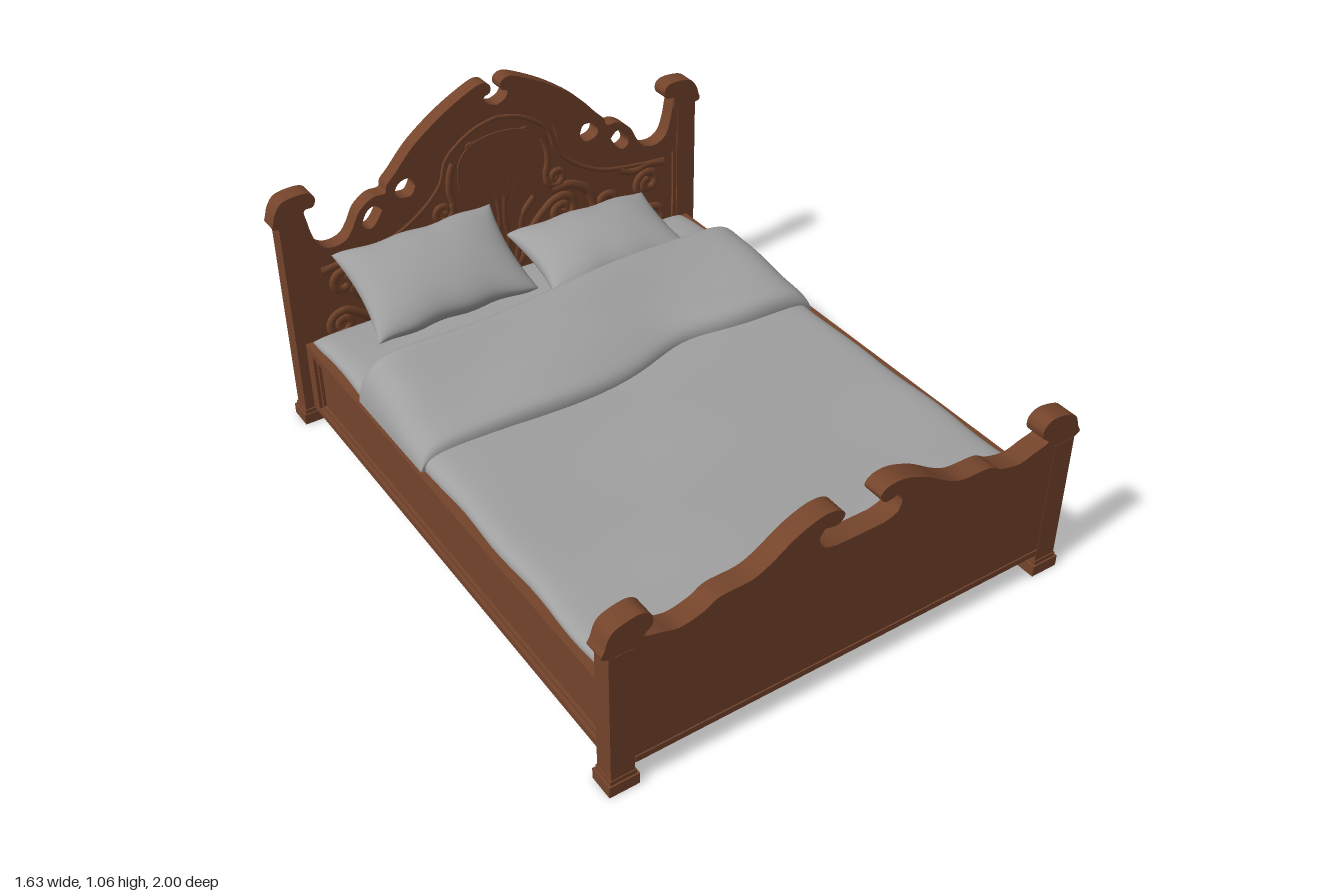
import * as THREE from 'three';
import { mergeVertices, toCreasedNormals } from 'three/addons/utils/BufferGeometryUtils.js';

const mat = (name, color) => Object.assign(new THREE.MeshStandardMaterial({ color }), { name });

export function createModel() {
  const model = new THREE.Group();
  model.name = 'bed';
  const wood = mat('carved wood', 0x74442b);
  const linen = mat('grey linen', 0xa0a0a0);

  const add = (name, geo, material, x = 0, y = 0, z = 0) => {
    const m = new THREE.Mesh(geo, material);
    m.name = name;
    m.position.set(x, y, z);
    model.add(m);
    return m;
  };
  // Box given by its limits on each axis
  const box = (name, x0, x1, y0, y1, z0, z1) =>
    add(name, new THREE.BoxGeometry(x1 - x0, y1 - y0, z1 - z0), wood,
      (x0 + x1) / 2, (y0 + y1) / 2, (z0 + z1) / 2);
  const vecs = (pts) => pts.map(([x, y]) => new THREE.Vector2(x, y));
  const smooth = (pts, n = 110) => new THREE.SplineCurve(vecs(pts)).getPoints(n);
  const flip = (pts, s) => pts.map((p) => new THREE.Vector2(p.x * s, p.y));
  // Closed symmetrical outline from its right half, listed from the middle of the top outwards
  const mirrored = (half) => [...half, ...flip(half.slice(1).reverse(), -1)];
  // Outlines run counter-clockwise and holes clockwise, so that all walls face outwards
  const wound = (pts, clockwise) =>
    (THREE.ShapeUtils.isClockWise(pts) === clockwise ? pts : [...pts].reverse());
  const plate = (name, outline, holes, z0, z1) => {
    const shape = new THREE.Shape(wound(outline, false));
    holes.forEach((h) => shape.holes.push(new THREE.Path(wound(h, true))));
    const geo = new THREE.ExtrudeGeometry(shape, { depth: z1 - z0, bevelEnabled: false });
    return add(name, toCreasedNormals(geo, 0.6), wood, 0, 0, z0);
  };
  // Low relief strand: a tube flattened towards the panel
  const strand = (name, pts, z, r, n = 52) => {
    const curve = new THREE.CatmullRomCurve3(pts.map((p) => new THREE.Vector3(p.x, p.y, 0)));
    add(name, new THREE.TubeGeometry(curve, n, r, 8), wood, 0, 0, z).scale.z = 0.6;
  };
  // Path that ends in a spiral curl
  const curl = (path, cx, cy, r, a0, turns) => {
    const pts = vecs(path);
    for (let i = 0; i <= 14; i++) {
      const t = i / 14, a = a0 + turns * t * Math.PI * 2, q = r * (1 - 0.75 * t);
      pts.push(new THREE.Vector2(cx + q * Math.cos(a), cy + q * Math.sin(a)));
    }
    return pts;
  };

  // ---- Headboard: arched, pierced frame around a recessed panel
  const headTop = smooth([[0, 0.97], [0.03, 0.982], [0.045, 1.008], [0.022, 1.02], [0.02, 1.045], [0.045, 1.06],
    [0.09, 1.048], [0.2, 0.99], [0.31, 0.91], [0.385, 0.83], [0.415, 0.8], [0.425, 0.772], [0.47, 0.77],
    [0.52, 0.735], [0.55, 0.68], [0.58, 0.645], [0.63, 0.637], [0.67, 0.66], [0.69, 0.71], [0.7, 0.76],
    [0.705, 0.8], [0.675, 0.805], [0.664, 0.83], [0.68, 0.855], [0.725, 0.86], [0.775, 0.85], [0.8, 0.82],
    [0.81, 0.79], [0.815, 0.768], [0.795, 0.76]], 150);
  const headHalf = [...headTop, ...vecs([[0.795, 0.09]])];
  const archHalf = [...smooth([[0, 0.945], [0.1, 0.92], [0.2, 0.85], [0.235, 0.76], [0.31, 0.685], [0.42, 0.625],
    [0.55, 0.6], [0.705, 0.585]], 50), ...vecs([[0.705, 0.25]])];
  const arch = mirrored(archHalf);
  const loopA = [[0.315, 0.765], [0.33, 0.8], [0.37, 0.795], [0.39, 0.765], [0.375, 0.74], [0.335, 0.735]];
  const loopB = [[0.44, 0.715], [0.465, 0.738], [0.495, 0.725], [0.515, 0.68], [0.49, 0.66], [0.465, 0.675]];
  const pierced = [1, -1].flatMap((s) => [loopA, loopB].map((l) => flip(smooth([...l, l[0]], 24).slice(0, -1), s)));
  plate('headboardFrame', mirrored(headHalf), [arch, ...pierced], -0.984, -0.929);
  plate('headboardPanel', arch, [], -0.974, -0.939);
  box('headboardLowerRail', -0.72, 0.72, 0.09, 0.215, -0.987, -0.926);
  box('headboardLedge', -0.72, 0.72, 0.215, 0.24, -0.995, -0.92);

  // Raised cartouche in the middle of the panel
  const cartouche = smooth([[0, 0.868], [0.07, 0.86], [0.12, 0.835], [0.152, 0.79], [0.157, 0.72], [0.145, 0.66],
    [0.11, 0.6], [0.07, 0.53], [0.05, 0.45], [0.07, 0.36], [0.1, 0.27]], 60);
  plate('headboardCartouche', mirrored(cartouche), [], -0.978, -0.935);

  // Carved scrollwork on both faces, mirrored left and right
  const carvings = [
    [0.006, curl([[0, 0.862], [0.05, 0.858], [0.085, 0.85]], 0.095, 0.835, 0.022, 0.8, -1.2)],
    [0.008, vecs([[0.02, 0.6], [0.035, 0.68], [0.07, 0.72], [0.085, 0.69], [0.06, 0.655], [0.04, 0.6], [0.07, 0.53], [0.04, 0.45]])],
    [0.012, vecs([[0.02, 0.27], [0.015, 0.36], [0.02, 0.45], [0.01, 0.53], [0.015, 0.62]])],
    [0.014, vecs([[0.05, 0.27], [0.05, 0.36], [0.07, 0.45], [0.08, 0.52], [0.13, 0.58]])],
    [0.017, curl([[0.02, 0.3], [0.08, 0.36], [0.12, 0.46], [0.19, 0.53]], 0.24, 0.49, 0.06, 2.2, -1.4)],
    [0.017, curl([[0.05, 0.28], [0.14, 0.3], [0.22, 0.36], [0.31, 0.38]], 0.35, 0.32, 0.055, 1.8, -1.3)],
    [0.017, curl([[0.2, 0.58], [0.28, 0.58], [0.35, 0.53], [0.37, 0.46]], 0.42, 0.46, 0.055, 3.1, 1.4)],
    [0.016, curl([[0.36, 0.4], [0.45, 0.37], [0.52, 0.4], [0.57, 0.46]], 0.6, 0.49, 0.05, 3.6, -1.3)],
    [0.016, curl([[0.4, 0.28], [0.48, 0.29], [0.54, 0.34], [0.6, 0.38]], 0.62, 0.33, 0.05, 1.6, -1.3)],
    [0.013, curl([[0.17, 0.8], [0.185, 0.76], [0.19, 0.7], [0.18, 0.65]], 0.22, 0.63, 0.04, 2.8, 1.3)],
    [0.014, vecs([[0.48, 0.57], [0.54, 0.55], [0.6, 0.56], [0.67, 0.55]])],
  ];
  const trim = archHalf.slice(0, -1).map((p) => new THREE.Vector2(p.x * 0.95, p.y - 0.025));
  for (const s of [1, -1]) {
    for (const z of [-0.939, -0.974]) {
      carvings.forEach(([r, c]) => strand('headboardCarving', flip(c, s), z, r));
      strand('panelMoulding', flip(trim, s), z, 0.008, 70);
    }
  }

  // ---- Footboard: solid board with two facing crests
  const footTop = smooth([[0.08, 0.515], [0.125, 0.53], [0.14, 0.565], [0.125, 0.592], [0.1, 0.588], [0.075, 0.59],
    [0.06, 0.615], [0.085, 0.638], [0.14, 0.64], [0.22, 0.61], [0.3, 0.56], [0.36, 0.535], [0.46, 0.53],
    [0.51, 0.505], [0.58, 0.49], [0.64, 0.505], [0.69, 0.52], [0.665, 0.545], [0.666, 0.58], [0.7, 0.6],
    [0.76, 0.59], [0.79, 0.57], [0.805, 0.53], [0.815, 0.508], [0.795, 0.495]], 130);
  const footHalf = [...vecs([[0, 0.515]]), ...footTop, ...vecs([[0.795, 0.08]])];
  plate('footboard', mirrored(footHalf), [], 0.922, 0.989);
  box('footboardLowerTrim', -0.72, 0.72, 0.08, 0.1, 0.918, 0.993);

  // ---- Posts, scroll caps and stepped feet
  const headCap = smooth([[0.705, 0.76], [0.705, 0.8], [0.675, 0.805], [0.664, 0.83], [0.68, 0.855], [0.725, 0.86],
    [0.775, 0.85], [0.8, 0.82], [0.81, 0.79], [0.815, 0.768], [0.795, 0.76]], 50);
  for (const s of [1, -1]) {
    const x = s * 0.7575;
    for (const [end, z, top, half] of [['head', -0.957, 0.765, 0.032], ['foot', 0.956, 0.495, 0.034]]) {
      box(end + 'Post', x - 0.0375, x + 0.0375, 0.04, top, z - half, z + half);
      box(end + 'FootBlock', x - 0.048, x + 0.048, 0, 0.038, z - 0.042, z + 0.042);
      box(end + 'FootCollar', x - 0.041, x + 0.041, 0.038, 0.052, z - 0.037, z + 0.037);
    }
    plate('headPostScroll', flip(headCap, s), [], -0.989, -0.925);

    // ---- Side rails with a framed, recessed panel
    const rail = (name, a, b, y0, y1, z0, z1) =>
      box(name, Math.min(s * a, s * b), Math.max(s * a, s * b), y0, y1, z0, z1);
    rail('railPanel', 0.72, 0.742, 0.055, 0.305, -0.93, 0.93);
    rail('railTop', 0.72, 0.763, 0.283, 0.31, -0.93, 0.93);
    rail('railBottom', 0.72, 0.763, 0.05, 0.073, -0.93, 0.93);
    rail('railFrontStile', 0.72, 0.763, 0.05, 0.31, 0.89, 0.93);
    rail('railBackStile', 0.72, 0.763, 0.05, 0.31, -0.93, -0.878);
    for (const y of [0.073, 0.271]) rail('railBead', 0.735, 0.752, y, y + 0.012, -0.878, 0.89);
    for (const z of [-0.878, 0.878]) rail('railBeadEnd', 0.735, 0.752, 0.073, 0.283, z, z + 0.012);
    rail('slatLedger', 0.69, 0.72, 0.16, 0.2, -0.93, 0.93);
  }

  // ---- Slats and middle beam under the mattress
  for (let i = 0; i < 11; i++) {
    const z = -0.83 + i * 0.166;
    box('slat', -0.722, 0.722, 0.2, 0.22, z - 0.044, z + 0.044);
  }
  box('middleBeam', -0.022, 0.022, 0.16, 0.2, -0.93, 0.93);

  // ---- Bedding: boxes whose vertices follow a rule of (u, v, isTop), u and v from -1 to 1
  const soft = (name, rule, nx, nz) => {
    let geo = new THREE.BoxGeometry(2, 2, 2, nx, 1, nz);
    geo.deleteAttribute('normal');
    geo.deleteAttribute('uv');
    const p = geo.attributes.position;
    const ease = (t) => Math.sin((t * Math.PI) / 2);
    for (let i = 0; i < p.count; i++) {
      p.setXYZ(i, ...rule(ease(p.getX(i)), ease(p.getZ(i)), p.getY(i) > 0));
    }
    geo = mergeVertices(geo, 1e-5);
    geo.computeVertexNormals();
    return add(name, geo, linen);
  };
  const rim = (t, k) => Math.pow(Math.max(0, 1 - Math.abs(t) ** k), 0.5);
  const bump = (x, at, width) => Math.exp(-(((x - at) / width) ** 2));

  soft('mattress', (u, v, top) => {
    const wave = 0.004 * Math.sin(u * 5 + v * 4) + 0.003 * Math.sin(v * 11 - u * 3);
    const x = u * 0.735 + 0.004 * Math.sin(v * 14) * u ** 8;
    return [x, top ? 0.315 + (0.037 + wave) * rim(u, 24) * rim(v, 30) : 0.221, v * 0.915];
  }, 40, 50);

  soft('foldedBlanket', (u, v, top) => {
    const x = u * 0.752, t = (v + 1) / 2;
    const back = -0.58 - 0.04 * Math.tanh(2.5 * (x - 0.1)) + 0.012 * bump(x, -0.38, 0.2);
    const front = -0.14 - 0.022 * Math.tanh(6 * (x - 0.07)) - 0.032 * bump(x, 0.25, 0.15) + 0.01 * bump(x, -0.2, 0.25);
    const wave = 0.006 * Math.sin(x * 7 + t * 4) + 0.005 * Math.sin(t * 11 - x * 4);
    const h = 0.178 - 0.095 * t + wave;
    return [x, top ? 0.31 + h * rim(u, 16) * (0.45 + 0.55 * rim(v, 14)) : 0.308, back + (front - back) * t];
  }, 60, 30);

  // Pillows with pinched corners and slightly hollow edges
  const pillow = (name, w, d, t) => soft(name, (u, v, top) => {
    const h = t * Math.pow(Math.max(0, (1 - u * u) * (1 - v * v)), 0.42);
    const x = u * w * (1 - 0.08 * (1 - v * v)), z = v * d * (1 - 0.06 * (1 - u * u));
    return [x, top ? h : -h, z + 0.004 * Math.sin(u * 9)];
  }, 28, 24);
  const leaning = pillow('leaningPillow', 0.29, 0.178, 0.078);
  leaning.position.set(-0.345, 0.53, -0.765);
  leaning.rotation.set(0.5, 0, 0.02);
  const lying = pillow('lyingPillow', 0.277, 0.17, 0.08);
  lying.position.set(0.285, 0.43, -0.764);
  lying.rotation.set(0.2, -0.02, 0);

  return model;
}
